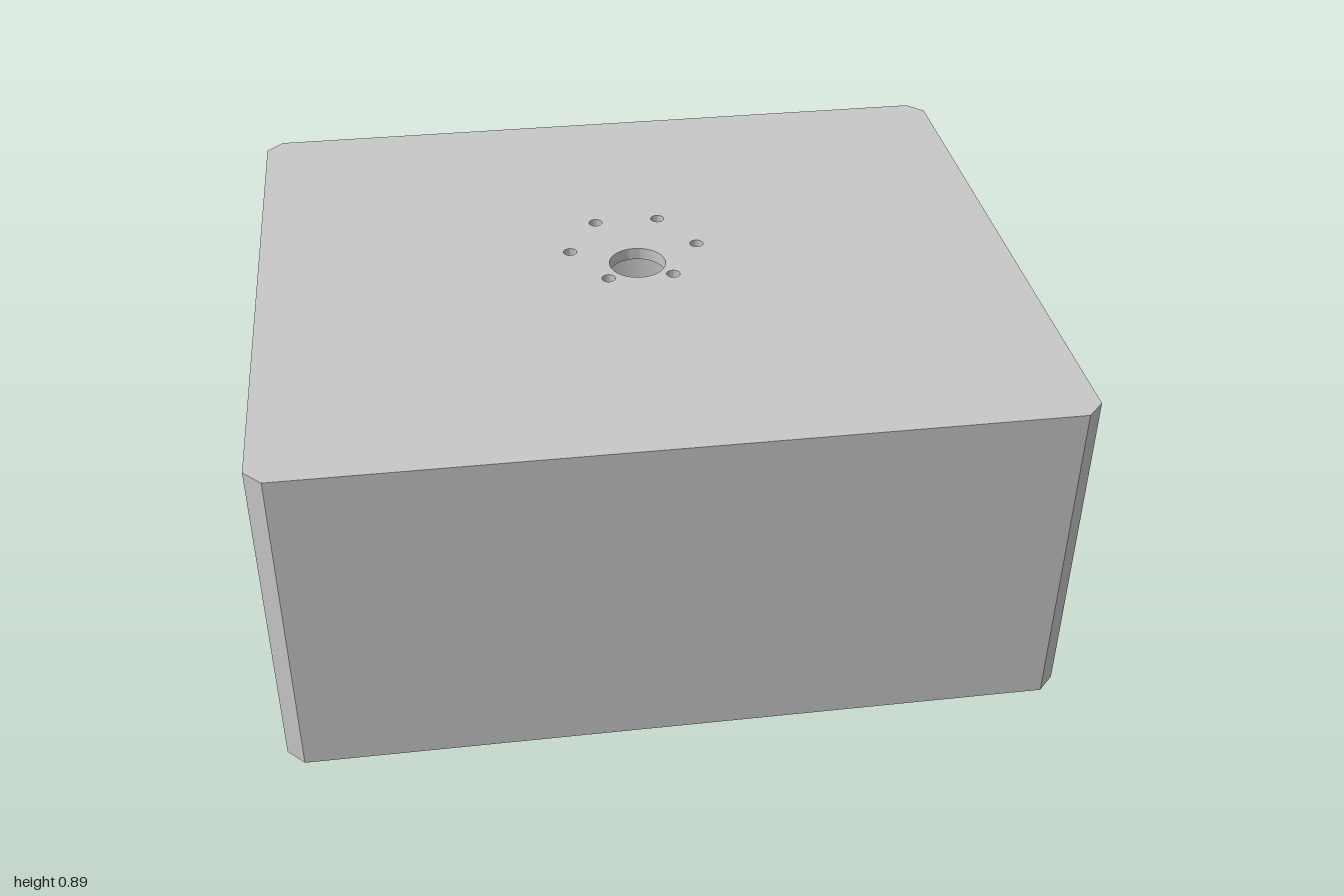
import * as THREE from 'three';
import { toCreasedNormals } from 'three/addons/utils/BufferGeometryUtils.js';

const X = 1, Z = 0.833, H = 0.889;   // half width, half depth, height
const T = 0.033, C = 0.044;          // wall thickness, corner chamfer
const CEIL = H - T;

export function createModel() {
  const group = new THREE.Group();
  const grey = new THREE.MeshStandardMaterial({ color: 0xc8c8c8 });
  grey.name = 'grey plastic';

  const polygon = (pts) => new THREE.Shape(pts.map(([x, y]) => new THREE.Vector2(x, y)));
  const circle = (x, y, r) => new THREE.Path().absarc(x, y, r, 0, Math.PI * 2, true);
  const extrude = (shape, depth) => toCreasedNormals(
    new THREE.ExtrudeGeometry(shape, { depth, bevelEnabled: false, curveSegments: 24 }), 0.5);
  const add = (name, geometry) => {
    const mesh = new THREE.Mesh(geometry, grey);
    mesh.name = name;
    group.add(mesh);
  };
  // Plan shapes are drawn as (x, -z) and raised from y0 to y1
  const raise = (shape, y0, y1) => extrude(shape, y1 - y0).rotateX(-Math.PI / 2).translate(0, y0, 0);
  const rect = (w) => polygon([[-w, 0], [w, 0], [w, CEIL], [-w, CEIL]]);

  // Top plate with shaft hole and six bolt holes around the motor axis
  const motorZ = -0.08;
  const top = polygon([
    [X, -Z + C], [X, Z - C], [X - C, Z], [-X + C, Z],
    [-X, Z - C], [-X, -Z + C], [-X + C, -Z], [X - C, -Z],
  ]);
  top.holes.push(circle(0, 0, 0.075));
  for (let i = 0; i < 6; i++) {
    const a = i * Math.PI / 3;
    top.holes.push(circle(0.172 * Math.cos(a), -motorZ + 0.172 * Math.sin(a), 0.018));
  }
  add('topPlate', raise(top, CEIL, H));

  // Front wall, and back wall with the socket cutout
  const wallX = X - T - C, wallZ = Z - T - C;
  add('frontWall', extrude(rect(wallX), T).translate(0, 0, Z - T));
  const back = rect(wallX);
  back.holes.push(new THREE.Path([[-0.7, 0.09], [-0.7, 0.335], [-0.4, 0.335], [-0.4, 0.09]]
    .map(([x, y]) => new THREE.Vector2(x, y))));
  add('backWall', extrude(back, T).translate(0, 0, -Z));

  // Side walls with nine round-ended vent slots
  const side = rect(wallZ);
  const r = 0.024, slotLow = 0.195 + r, slotHigh = 0.7 - r;
  for (let i = -4; i <= 4; i++) {
    const slot = new THREE.Path();
    slot.absarc(i * 0.111, slotHigh, r, 0, Math.PI, false);
    slot.absarc(i * 0.111, slotLow, r, Math.PI, Math.PI * 2, false);
    slot.closePath();
    side.holes.push(slot);
  }
  add('leftVentWall', extrude(side, T).rotateY(Math.PI / 2).translate(X - T, 0, 0));
  add('rightVentWall', extrude(side, T).rotateY(Math.PI / 2).translate(-X, 0, 0));

  // Chamfered corners
  for (const sx of [1, -1]) for (const sz of [1, -1]) {
    const corner = polygon([
      [X, wallZ], [X, Z - C], [X - C, Z], [wallX, Z], [wallX, Z - T], [X - T, wallZ],
    ].map(([x, z]) => [sx * x, -sz * z]));
    add(`${sz > 0 ? 'front' : 'back'}${sx > 0 ? 'Left' : 'Right'}Corner`, raise(corner, 0, CEIL));
  }

  // Motor holder under the top: ring with beams to the front and back walls
  const R = 0.253, w = 0.112, cy = -motorZ, a = Math.acos(w / R);
  const holder = new THREE.Shape();
  holder.moveTo(w, -Z + T);
  holder.absarc(0, cy, R, -a, a, false);
  holder.lineTo(w, Z - T);
  holder.lineTo(-w, Z - T);
  holder.absarc(0, cy, R, Math.PI - a, Math.PI + a, false);
  holder.lineTo(-w, -Z + T);
  holder.closePath();
  holder.holes.push(circle(0, cy, 0.206));
  add('motorHolder', raise(holder, 0.583, CEIL));

  return group;
}
